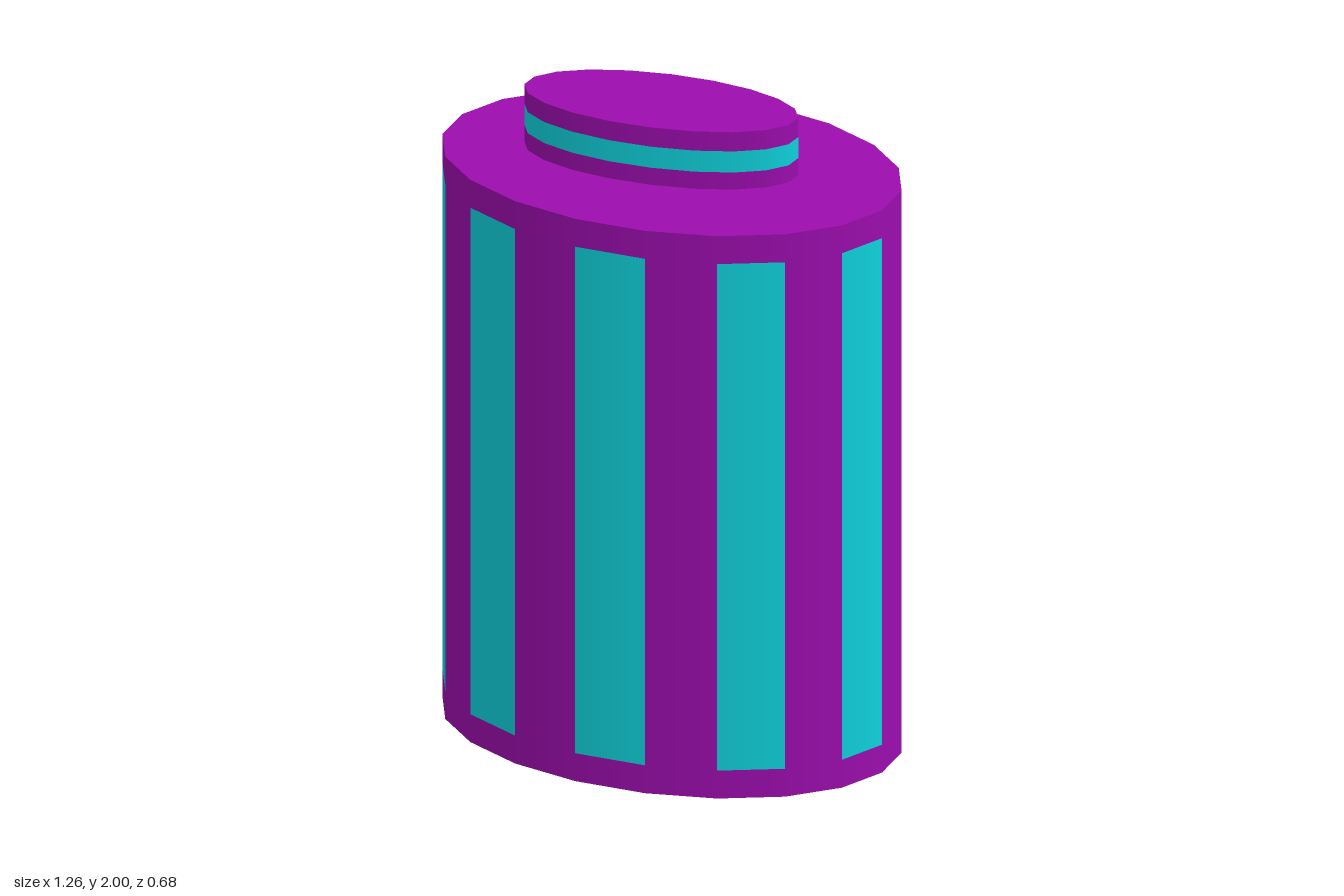
import * as THREE from 'three';
import { mergeGeometries } from 'three/addons/utils/BufferGeometryUtils.js';

const SIDES = 20, STEP = (Math.PI * 2) / SIDES;
const BODY = { rx: 0.63, rz: 0.338, x: 0, z: 0 };
const KNOB = { rx: 0.376, rz: 0.131, x: -0.032, z: -0.013 };
const ALL = Array.from({ length: SIDES }, (_, i) => i);

// One smooth-shaded wall panel; panel i spans angles i..i+1 steps from +x towards +z
function panel(e, i, y0, y1) {
  return new THREE.CylinderGeometry(1, 1, y1 - y0, 1, 1, true, Math.PI / 2 - (i + 1) * STEP, STEP)
    .scale(e.rx, 1, e.rz).translate(e.x, (y0 + y1) / 2, e.z);
}

// One wedge of an elliptical cap, facing up or down
function wedge(e, i, y, up) {
  const start = up ? -(i + 1) * STEP : i * STEP;
  return new THREE.CircleGeometry(1, 1 + 2, start, STEP).rotateX(up ? -Math.PI / 2 : Math.PI / 2)
    .scale(e.rx, 1, e.rz).translate(e.x, y, e.z);
}

// Straight-edged cap wedge made of a single triangle
function cap(e, list, y, up) {
  return list.map((i) => {
    const g = wedge(e, i, y, up), p = g.attributes.position;
    g.setIndex([0, 1, p.count - 1]);
    return g;
  });
}

export function createModel() {
  const model = new THREE.Group();
  const purple = new THREE.MeshStandardMaterial({ color: 0x9c0dae });
  const cyan = new THREE.MeshStandardMaterial({ color: 0x0fd2dc });
  const grey = new THREE.MeshStandardMaterial({ color: 0xcccccc });
  const add = (name, material, geometries) => {
    const mesh = new THREE.Mesh(mergeGeometries(geometries), material);
    mesh.name = name;
    model.add(mesh);
  };
  const ring = (e, list, y0, y1) => list.map((i) => panel(e, i, y0, y1));
  const split = (test) => [ALL.filter(test), ALL.filter((i) => !test(i))];

  // Body wall: odd panels striped on the front half, even panels on the back half
  const [stripes, plain] = split((i) => (i < 10 ? i % 2 === 1 : i % 2 === 0));
  add('bodyStripes', cyan, ring(BODY, stripes, 0.09, 1.725));
  add('bodyPanels', purple, ring(BODY, plain, 0.09, 1.725));
  add('upperBand', purple, ring(BODY, ALL, 1.725, 1.815));

  // Lower band with a bare patch at the back
  const [bare, painted] = split((i) => i === 14 || i === 15);
  add('lowerBand', purple, ring(BODY, painted, 0, 0.09));
  add('barePatch', grey, ring(BODY, bare, 0, 0.09));

  // Top and two-coloured bottom
  add('bodyTop', purple, cap(BODY, ALL, 1.815, true));
  const [tinted, dark] = split((i) => [2, 3, 5, 6, 13, 14, 16, 17].includes(i));
  add('bottomWedges', cyan, cap(BODY, tinted, 0, false));
  add('bottom', purple, cap(BODY, dark, 0, false));

  // Slightly off-centre knob with a coloured ring
  add('knobBase', purple, ring(KNOB, ALL, 1.815, 1.87));
  add('knobRing', cyan, ring(KNOB, ALL, 1.87, 1.938));
  add('knobRim', purple, ring(KNOB, ALL, 1.938, 2));
  add('knobTop', purple, cap(KNOB, ALL, 2, true));
  return model;
}
